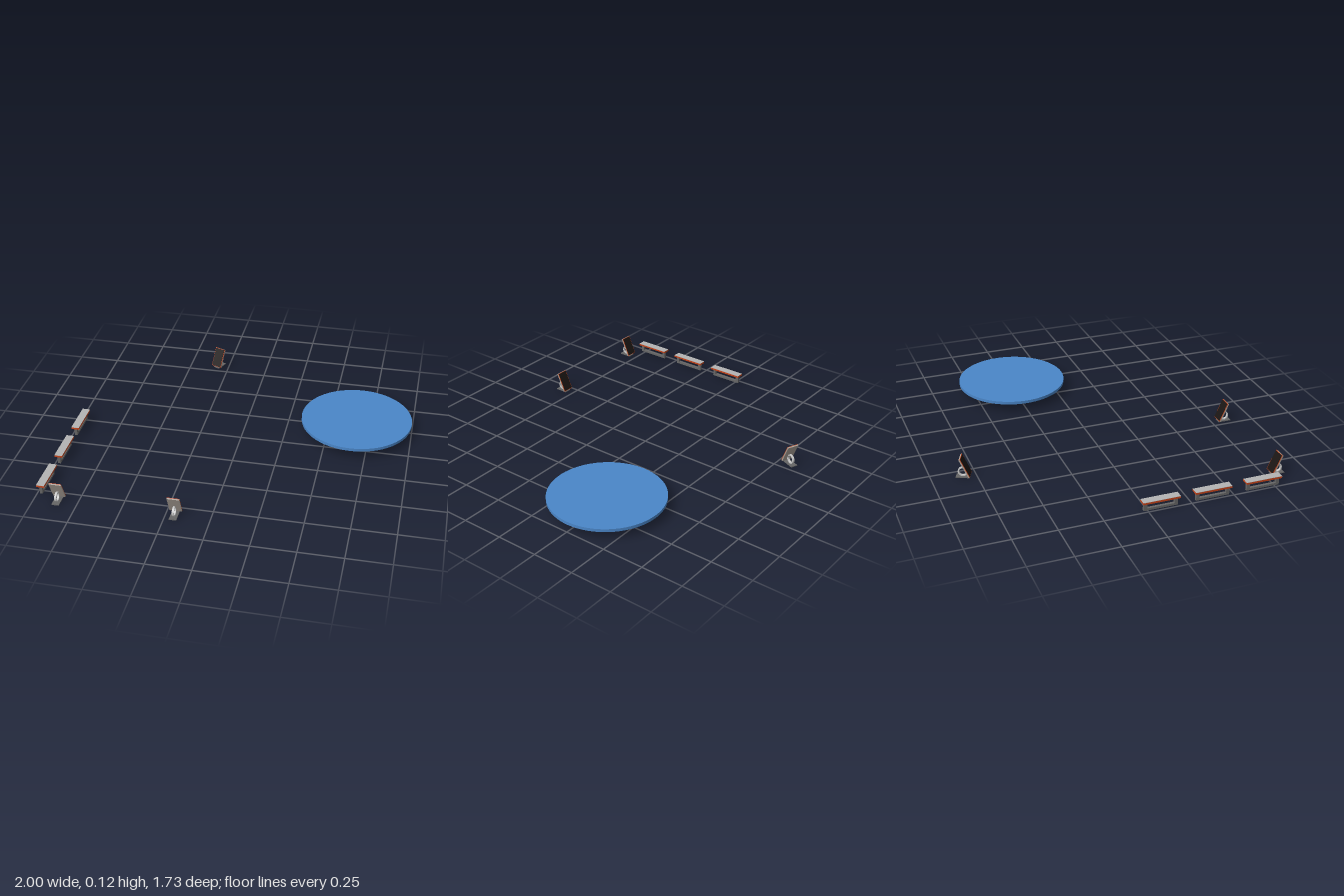
import * as THREE from 'three';

const mat = (color) => new THREE.MeshStandardMaterial({ color });
const blue = mat(0x4a86c8), orange = mat(0xc8441a), lightGrey = mat(0xb4b4b4);
const darkGrey = mat(0x666666), black = mat(0x1c1614), shell = mat(0xaca39a), grey = mat(0xcccccc);

function add(parent, name, geometry, material, x = 0, y = 0, z = 0) {
  const mesh = new THREE.Mesh(geometry, material);
  mesh.name = name;
  mesh.position.set(x, y, z);
  parent.add(mesh);
  return mesh;
}

const box = (w, h, d) => new THREE.BoxGeometry(w, h, d);

// Bench: slab with a grey top sheet on a closed rectangular frame
function createBench(z) {
  const bench = new THREE.Group();
  bench.name = 'bench';
  add(bench, 'benchSlab', box(0.046, 0.011, 0.214), orange, 0, 0.0525);
  add(bench, 'benchTopSheet', box(0.046, 0.002, 0.214), lightGrey, 0, 0.059);
  for (const s of [-1, 1]) add(bench, 'benchLeg', box(0.016, 0.047, 0.019), darkGrey, 0, 0.0235, s * 0.0885);
  add(bench, 'benchFootBar', box(0.016, 0.013, 0.158), darkGrey, 0, 0.0065);
  bench.position.set(-0.977, 0, z);
  return bench;
}

// Sign stand: leaning panel facing local -z, ring support and base plate behind it
function createStand(x, z, turn) {
  const stand = new THREE.Group();
  stand.name = 'displayStand';

  const panel = new THREE.Group();
  panel.name = 'displayPanel';
  panel.position.set(0, 0.067, -0.011);
  panel.rotation.x = 0.42;
  add(panel, 'panelBack', box(0.07, 0.122, 0.007), shell, 0, 0, 0.002);
  add(panel, 'panelRim', box(0.07, 0.122, 0.003), orange, 0, 0, -0.003);
  add(panel, 'panelFace', box(0.065, 0.117, 0.002), black, 0, 0, -0.0045);
  stand.add(panel);

  // Flat ring standing in the side plane
  const ring = new THREE.Shape().absarc(0, 0, 0.028, 0, Math.PI * 2);
  ring.holes.push(new THREE.Path().absarc(0, 0, 0.021, 0, Math.PI * 2, true));
  const ringGeometry = new THREE.ExtrudeGeometry(ring, { depth: 0.012, bevelEnabled: false, curveSegments: 20 });
  ringGeometry.translate(0, 0, -0.006).rotateY(Math.PI / 2);
  add(stand, 'supportRing', ringGeometry, grey, 0, 0.032, 0.004);

  add(stand, 'basePlate', box(0.042, 0.005, 0.078), darkGrey, 0, 0.0025, 0.003);

  stand.position.set(x, 0, z);
  stand.rotation.y = turn;
  return stand;
}

export function createModel() {
  const model = new THREE.Group();
  model.name = 'plazaFurniture';

  // Large round pool disc
  add(model, 'roundPool', new THREE.CylinderGeometry(0.333, 0.333, 0.018, 64), blue, 0.665, 0.056, -0.25);

  for (const z of [0.077, 0.379, 0.68]) model.add(createBench(z));

  model.add(createStand(-0.865, 0.826, 0));
  model.add(createStand(-0.2, 0.826, 0));
  model.add(createStand(-0.312, -0.82, Math.PI - 0.41));
  return model;
}
